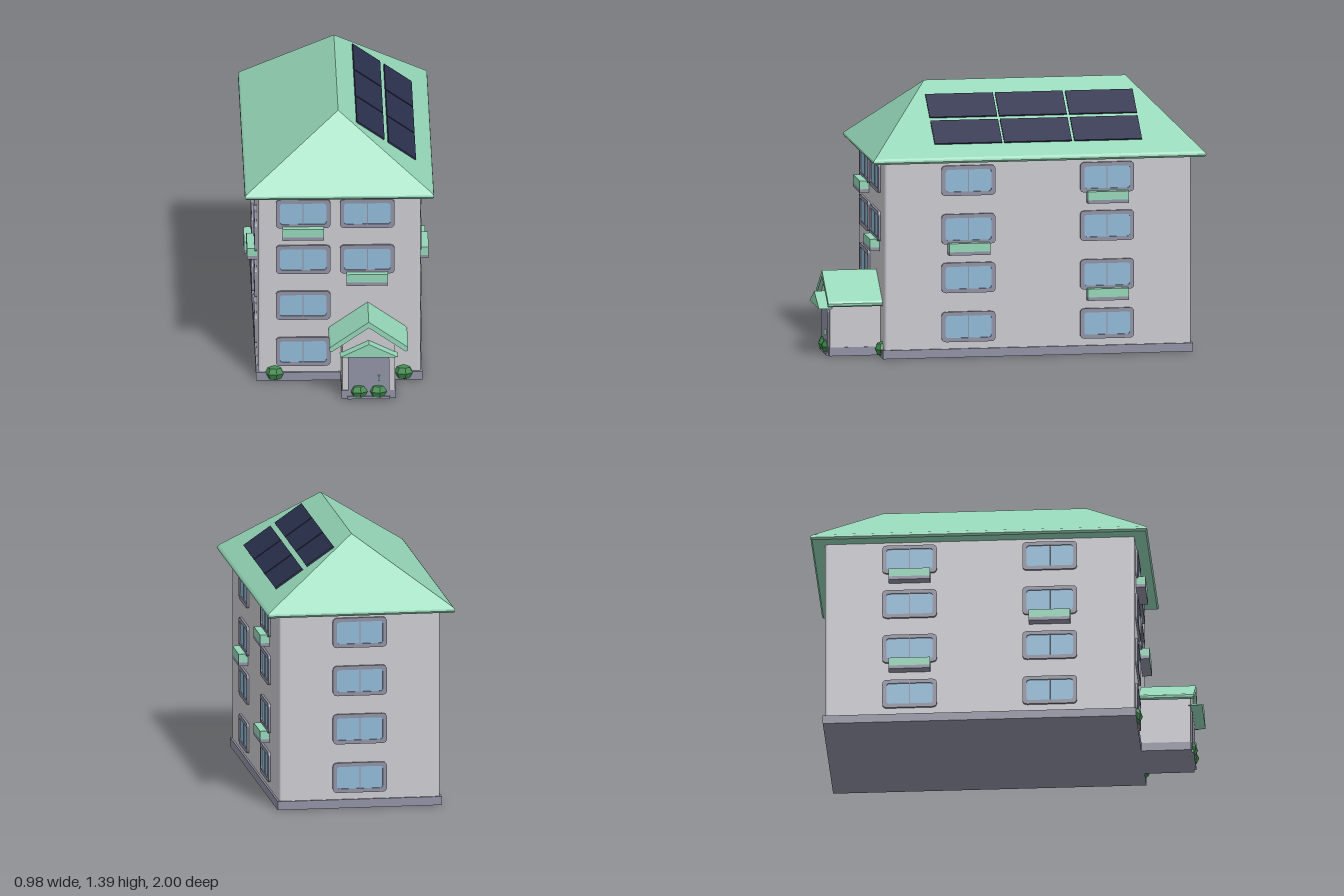
import * as THREE from 'three';

const mat = (name, color) => {
  const m = new THREE.MeshStandardMaterial({ color });
  m.name = name;
  return m;
};

export function createModel() {
  const wallMat = mat('wall', 0xc9c8ce);
  const greenMat = mat('mint', 0x93d4b6);
  const trimMat = mat('trim', 0x8f90a2);
  const glassMat = mat('glass', 0x8eb7d4);
  const panelMat = mat('panel', 0x2a2f4c);
  const bushMat = mat('leaf', 0x3d8a4c);
  bushMat.flatShading = true;

  const model = new THREE.Group();
  const add = (parent, name, geo, material, x = 0, y = 0, z = 0) => {
    const mesh = new THREE.Mesh(geo, material);
    mesh.name = name;
    mesh.position.set(x, y, z);
    parent.add(mesh);
    return mesh;
  };
  const box = (parent, name, m, x0, x1, y0, y1, z0, z1) =>
    add(parent, name, new THREE.BoxGeometry(x1 - x0, y1 - y0, z1 - z0), m,
      (x0 + x1) / 2, (y0 + y1) / 2, (z0 + z1) / 2);
  const extrude = (shape, depth) =>
    new THREE.ExtrudeGeometry(shape, { depth, bevelEnabled: false, curveSegments: 4 });
  const poly = (pts) => new THREE.Shape(pts.map(([x, y]) => new THREE.Vector2(x, y)));

  // Rounded rectangle centred on the origin
  const roundRect = (w, h, r, S = THREE.Shape) => {
    const s = new S(), a = w / 2, b = h / 2;
    s.moveTo(-a + r, -b);
    s.lineTo(a - r, -b); s.quadraticCurveTo(a, -b, a, -b + r);
    s.lineTo(a, b - r); s.quadraticCurveTo(a, b, a - r, b);
    s.lineTo(-a + r, b); s.quadraticCurveTo(-a, b, -a, b - r);
    s.lineTo(-a, -b + r); s.quadraticCurveTo(-a, -b, -a + r, -b);
    return s;
  };

  // Main block and plinth
  const midZ = -0.1275;
  const walls = add(model, 'walls', extrude(roundRect(0.84, 1.605, 0.015), 1.0), wallMat, 0, 0.035, midZ);
  walls.rotation.x = -Math.PI / 2;
  box(model, 'plinth', trimMat, -0.43, 0.43, 0, 0.045, -0.94, 0.685);

  // Hipped roof from stacked rectangular rings with a rounded eave
  const rings = [[0.465, 0.735, 1.025], [0.482, 0.733, 1.027], [0.49, 0.742, 1.037],
    [0.488, 0.873, 1.047], [0.48, 0.862, 1.056], [0, 0.5275, 1.39]];
  rings[0][1] = 0.848; rings[1][1] = 0.865; rings[2][1] = 0.873; rings[3][1] = 0.871;
  const pos = [];
  const corners = ([x, z, y]) => [[-x, y, z], [x, y, z], [x, y, -z], [-x, y, -z]];
  const quad = (a, b, c, d) => pos.push(...a, ...b, ...c, ...a, ...c, ...d);
  for (let i = 0; i < rings.length - 1; i++) {
    const lo = corners(rings[i]), hi = corners(rings[i + 1]);
    for (let k = 0; k < 4; k++) {
      const n = (k + 1) % 4;
      quad(lo[k], lo[n], hi[n], hi[k]);
    }
  }
  const base = corners(rings[0]);
  quad(base[3], base[2], base[1], base[0]);
  const roofGeo = new THREE.BufferGeometry();
  roofGeo.setAttribute('position', new THREE.Float32BufferAttribute(pos, 3));
  roofGeo.computeVertexNormals();
  add(model, 'roof', roofGeo, greenMat, 0, 0, midZ);

  // Solar panels laid on the right slope
  const slope = (1.39 - 1.056) / 0.48;
  for (const x of [0.167, 0.33]) {
    for (const z of [-0.5, -0.1325, 0.2325]) {
      const p = add(model, 'solarPanel', new THREE.BoxGeometry(0.142 * Math.hypot(1, slope), 0.008, 0.354),
        panelMat, x, 1.39 - slope * x + 0.005, z);
      p.rotation.z = -Math.atan(slope);
    }
  }

  // Window with frame, two panes and an optional flower box, facing +z
  const frameShape = roundRect(0.283, 0.158, 0.025);
  frameShape.holes.push(roundRect(0.24, 0.116, 0.016, THREE.Path));
  const frameGeo = extrude(frameShape, 0.012);
  const glassGeo = extrude(roundRect(0.24, 0.116, 0.016), 0.006);
  const addWindow = (x, y, z, angle, planter) => {
    const g = new THREE.Group();
    g.name = 'window';
    add(g, 'windowFrame', frameGeo, trimMat);
    add(g, 'windowGlass', glassGeo, glassMat);
    box(g, 'windowMullion', trimMat, -0.0025, 0.0025, -0.058, 0.058, 0, 0.009);
    if (planter) {
      box(g, 'planterBox', greenMat, -0.1075, 0.1075, -0.114, -0.07, 0, 0.05);
      box(g, 'planterBase', trimMat, -0.1075, 0.1075, -0.132, -0.114, 0, 0.05);
    }
    g.position.set(x, y, z);
    g.rotation.y = angle;
    model.add(g);
  };
  [0.16, 0.417, 0.672, 0.926].forEach((y, row) => {
    addWindow(-0.187, y, 0.675, 0, row === 3);
    if (row > 1) addWindow(0.145, y, 0.675, 0, row === 2);
    addWindow(0, y, -0.93, Math.PI, false);
    for (const s of [1, -1]) {
      addWindow(s * 0.42, y, 0.237, s * Math.PI / 2, row === 2);
      addWindow(s * 0.42, y, -0.49, s * Math.PI / 2, row === 1 || row === 3);
    }
  });

  // Entrance porch with gabled wall, roof and small canopy
  const porch = new THREE.Group();
  porch.name = 'porch';
  porch.position.x = 0.147;
  model.add(porch);
  add(porch, 'porchWalls', extrude(poly([[-0.137, 0.01], [0.137, 0.01], [0.137, 0.302], [0, 0.4], [-0.137, 0.302]]), 0.28),
    wallMat, 0, 0, 0.66);
  box(porch, 'porchPlinth', trimMat, -0.14, 0.14, 0, 0.045, 0.66, 0.943);
  const half = [[0.196, 0.294], [0.204, 0.284], [0.203, 0.272], [0.192, 0.265]];
  const left = half.map(([x, y]) => [-x, y]).reverse();
  add(porch, 'porchRoof', extrude(poly([[0, 0.43], ...half, [0, 0.398], ...left]), 0.285), greenMat, 0, 0, 0.675);
  add(porch, 'porchCanopy', extrude(poly([[-0.15, 0.25], [0.15, 0.25], [0, 0.322]]), 0.07), greenMat, 0, 0, 0.93);
  add(porch, 'door', extrude(roundRect(0.214, 0.236, 0.025), 0.01), trimMat, 0, 0.122, 0.938);
  box(porch, 'doorHandle', greenMat, 0.048, 0.058, 0.1, 0.13, 0.945, 0.957);
  box(porch, 'doorStep', trimMat, -0.11, 0.11, 0, 0.014, 0.93, 0.955);

  // Faceted bushes
  const bushGeo = new THREE.SphereGeometry(1, 7, 4);
  for (const [x, z] of [[-0.335, 0.673], [0.333, 0.673], [0.095, 0.932], [0.195, 0.932]]) {
    add(model, 'bush', bushGeo, bushMat, x, 0.04, z).scale.set(0.051, 0.041, 0.041);
  }
  return model;
}
